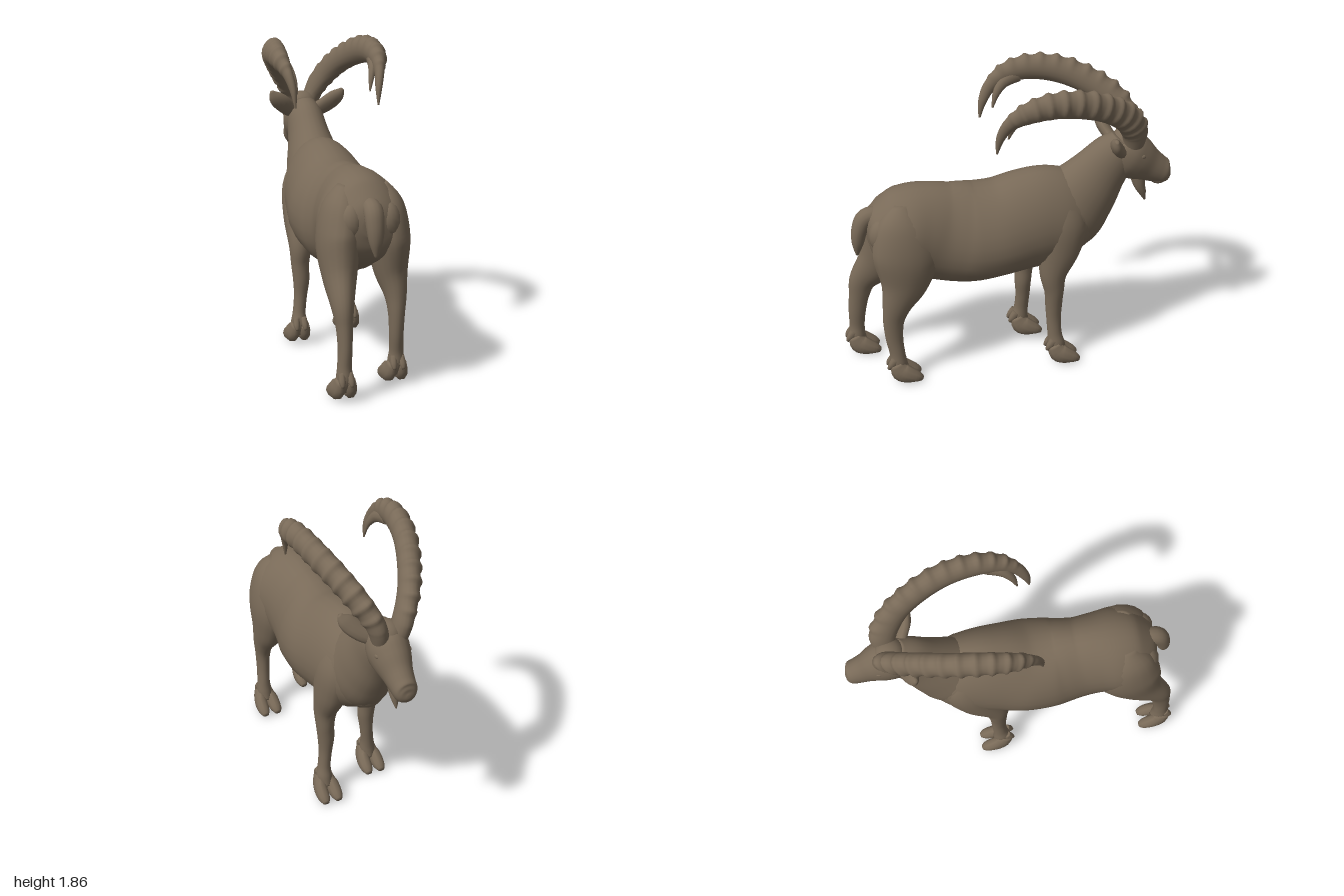
import * as THREE from 'three';

const coat = new THREE.MeshStandardMaterial({ color: 0x796a58 });
coat.name = 'brown coat';

// Smooth interpolation of one column of the section rows
function cubic(a, b, c, d, t) {
  return 0.5 * (2 * b + (c - a) * t + (2 * a - 5 * b + 4 * c - d) * t * t + (3 * b - a - 3 * c + d) * t * t * t);
}

// Lofts elliptical rings through rows of [x, y, z, sideways radius, other radius].
// skew widens the lower half; shape(u, angle) scales a ring point.
function loft(name, rows, { sides = 20, steps = 5, skew = 0, shape = () => 1 } = {}) {
  const at = (v) => {
    const i = Math.min(Math.floor(v), rows.length - 2), t = v - i;
    const r = (k) => rows[Math.max(0, Math.min(rows.length - 1, k))];
    return rows[0].map((_, c) => cubic(r(i - 1)[c], r(i)[c], r(i + 1)[c], r(i + 2)[c], t));
  };
  const n = (rows.length - 1) * steps, pos = [], idx = [];
  const vec = (s) => new THREE.Vector3(s[0], s[1], s[2]);
  for (let i = 0; i <= n; i++) {
    const s = at(i / steps), c = vec(s);
    const t = vec(at(Math.min(n, i + 1) / steps)).sub(vec(at(Math.max(0, i - 1) / steps))).normalize();
    const side = new THREE.Vector3(1, 0, 0).addScaledVector(t, -t.x).normalize();
    const up = side.clone().cross(t);
    for (let j = 0; j < sides; j++) {
      const a = (j / sides) * Math.PI * 2, m = shape(i / n, a);
      const p = c.clone()
        .addScaledVector(side, Math.cos(a) * Math.max(0.002, s[3]) * (1 - skew * Math.sin(a)) * m)
        .addScaledVector(up, Math.sin(a) * Math.max(0.002, s[4]) * m);
      pos.push(p.x, p.y, p.z);
    }
  }
  for (let i = 0; i < n; i++) {
    for (let j = 0; j < sides; j++) {
      const k = (j + 1) % sides, a = i * sides + j, b = i * sides + k;
      idx.push(a, a + sides, b, b, a + sides, b + sides);
    }
  }
  // End caps
  const first = pos.length / 3;
  pos.push(...rows[0].slice(0, 3), ...rows[rows.length - 1].slice(0, 3));
  for (let j = 0; j < sides; j++) {
    const k = (j + 1) % sides;
    idx.push(first, j, k, first + 1, n * sides + k, n * sides + j);
  }
  const g = new THREE.BufferGeometry();
  g.setAttribute('position', new THREE.Float32BufferAttribute(pos, 3));
  g.setIndex(idx);
  g.computeVertexNormals();
  const mesh = new THREE.Mesh(g, coat);
  mesh.name = name;
  return mesh;
}

function ball(name, x, y, z, rx, ry, rz) {
  const mesh = new THREE.Mesh(new THREE.SphereGeometry(1, 16, 12), coat);
  mesh.name = name;
  mesh.position.set(x, y, z);
  mesh.scale.set(rx, ry, rz);
  return mesh;
}

// Cloven foot with two toes and two dewclaws; heel is the z of the ankle
function foot(x, heel) {
  const g = new THREE.Group();
  g.name = 'foot';
  for (const s of [-1, 1]) {
    g.add(loft('toe', [
      [x + s * 0.025, 0.13, heel + 0.005, 0.03, 0.04],
      [x + s * 0.033, 0.08, heel - 0.02, 0.038, 0.06],
      [x + s * 0.04, 0.055, heel - 0.065, 0.04, 0.055],
      [x + s * 0.042, 0.035, heel - 0.12, 0.035, 0.034],
      [x + s * 0.042, 0.02, heel - 0.15, 0.018, 0.016],
    ], { sides: 10, steps: 3 }));
    g.add(loft('dewclaw', [
      [x + s * 0.022, 0.16, heel + 0.005, 0.022, 0.03],
      [x + s * 0.026, 0.125, heel + 0.035, 0.02, 0.022],
      [x + s * 0.026, 0.1, heel + 0.05, 0.008, 0.01],
    ], { sides: 8, steps: 3 }));
  }
  return g;
}

function hindLeg(s, back) {
  const g = new THREE.Group();
  g.name = s > 0 ? 'leftHindLeg' : 'rightHindLeg';
  const x = (v) => s * v;
  g.add(loft('leg', [
    [x(0.09), 1.15, 0.64, 0.05, 0.06],
    [x(0.125), 1.03, 0.65, 0.105, 0.16],
    [x(0.15), 0.85, 0.64 + back * 0.15, 0.118, 0.2],
    [x(0.16), 0.67, 0.66 + back * 0.5, 0.095, 0.148],
    [x(0.175), 0.53, 0.71 + back * 0.85, 0.063, 0.09],
    [x(0.175), 0.42, 0.735 + back * 0.9, 0.046, 0.064],
    [x(0.175), 0.3, 0.735 + back, 0.04, 0.053],
    [x(0.18), 0.2, 0.722 + back * 1.1, 0.04, 0.047],
    [x(0.18), 0.13, 0.715 + back * 1.15, 0.048, 0.052],
    [x(0.18), 0.07, 0.695 + back * 1.15, 0.04, 0.045],
  ], { sides: 18 }), foot(x(0.18), 0.73 + back * 1.15));
  return g;
}

function frontLeg(s, back) {
  const g = new THREE.Group();
  g.name = s > 0 ? 'leftFrontLeg' : 'rightFrontLeg';
  const x = (v) => s * v;
  g.add(loft('leg', [
    [x(0.1), 1.12, -0.28, 0.06, 0.08],
    [x(0.13), 0.95, -0.3, 0.095, 0.15],
    [x(0.145), 0.78, -0.28 + back * 0.3, 0.092, 0.135],
    [x(0.16), 0.62, -0.245 + back * 0.8, 0.07, 0.085],
    [x(0.165), 0.5, -0.25 + back * 0.95, 0.055, 0.06],
    [x(0.16), 0.4, -0.25 + back, 0.05, 0.052],
    [x(0.165), 0.3, -0.25 + back, 0.04, 0.045],
    [x(0.175), 0.2, -0.255 + back * 1.1, 0.039, 0.044],
    [x(0.18), 0.13, -0.265 + back * 1.25, 0.048, 0.052],
    [x(0.18), 0.07, -0.285 + back * 1.3, 0.04, 0.045],
  ], { sides: 18 }), foot(x(0.18), -0.25 + back * 1.3));
  return g;
}

// Curved horn with rows of knobs on its crest and outer side, and a second, shorter tip inside
function horn(s) {
  const g = new THREE.Group();
  g.name = s > 0 ? 'leftHorn' : 'rightHorn';
  const knobs = (u, a) => {
    const edge = Math.max(0, -Math.sin(a)) ** 3 + Math.max(0, s * Math.cos(a)) ** 3;
    const fade = Math.min(1, Math.max(0, (u - 0.08) * 12)) * Math.min(1, Math.max(0, (0.8 - u) * 12));
    return 1 + fade * edge * (0.22 * Math.sin(u * Math.PI * 18) ** 4 - 0.03);
  };
  g.add(loft('ringedHorn', [
    [s * 0.05, 1.36, -0.745, 0.05, 0.06],
    [s * 0.085, 1.48, -0.74, 0.055, 0.08],
    [s * 0.15, 1.6, -0.665, 0.06, 0.083],
    [s * 0.21, 1.69, -0.54, 0.063, 0.08],
    [s * 0.262, 1.755, -0.38, 0.063, 0.08],
    [s * 0.29, 1.78, -0.21, 0.06, 0.076],
    [s * 0.295, 1.755, -0.06, 0.05, 0.064],
    [s * 0.277, 1.69, 0.045, 0.03, 0.042],
    [s * 0.258, 1.6, 0.098, 0.02, 0.026],
    [s * 0.25, 1.5, 0.118, 0.005, 0.006],
  ], { sides: 18, steps: 18, shape: knobs }));
  g.add(loft('shortTip', [
    [s * 0.275, 1.745, -0.12, 0.03, 0.045],
    [s * 0.258, 1.71, -0.03, 0.028, 0.034],
    [s * 0.235, 1.65, 0.02, 0.018, 0.022],
    [s * 0.22, 1.57, 0.045, 0.004, 0.005],
  ], { sides: 10 }));
  return g;
}

export function createModel() {
  const goat = new THREE.Group();
  goat.name = 'goat';

  // Trunk from [z, top, bottom, half width]
  const trunk = [
    [0.85, 1.02, 0.9, 0.05], [0.82, 1.1, 0.82, 0.15], [0.74, 1.18, 0.73, 0.215], [0.62, 1.225, 0.68, 0.25],
    [0.5, 1.23, 0.64, 0.235], [0.4, 1.218, 0.6, 0.228], [0.3, 1.21, 0.578, 0.242], [0.2, 1.2, 0.575, 0.263],
    [0.05, 1.205, 0.6, 0.272], [-0.1, 1.245, 0.62, 0.252], [-0.22, 1.258, 0.625, 0.235],
    [-0.34, 1.215, 0.635, 0.215], [-0.44, 1.13, 0.67, 0.175], [-0.51, 1.02, 0.745, 0.11], [-0.54, 0.94, 0.84, 0.03],
  ].map(([z, t, b, w]) => [0, (t + b) / 2, z, w, (t - b) / 2]);
  goat.add(loft('trunk', trunk, { sides: 28, skew: 0.14 }));

  goat.add(loft('neck', [
    [0, 0.88, -0.2, 0.12, 0.2],
    [0, 0.95, -0.34, 0.185, 0.26],
    [0, 1.07, -0.455, 0.162, 0.225],
    [0, 1.2, -0.56, 0.128, 0.175],
    [0, 1.31, -0.65, 0.11, 0.14],
    [0, 1.38, -0.71, 0.08, 0.09],
  ], { sides: 24 }));

  goat.add(loft('head', [
    [0, 1.39, -0.6, 0.03, 0.03],
    [0, 1.35, -0.645, 0.095, 0.105],
    [0, 1.3, -0.72, 0.118, 0.15],
    [0, 1.255, -0.79, 0.108, 0.137],
    [0, 1.21, -0.86, 0.085, 0.107],
    [0, 1.175, -0.92, 0.074, 0.088],
    [0, 1.155, -0.965, 0.066, 0.075],
    [0, 1.15, -0.99, 0.045, 0.045],
    [0, 1.15, -1.0, 0.01, 0.01],
  ], { sides: 22 }));
  goat.add(ball('forehead', 0, 1.39, -0.72, 0.088, 0.08, 0.09));
  goat.add(ball('lowerLip', 0, 1.11, -0.925, 0.05, 0.03, 0.05));

  goat.add(loft('beard', [
    [0, 1.14, -0.8, 0.035, 0.05],
    [0, 1.08, -0.81, 0.032, 0.036],
    [0, 1.03, -0.83, 0.024, 0.025],
    [0, 0.97, -0.85, 0.004, 0.005],
  ], { sides: 10 }));

  goat.add(loft('tail', [
    [0, 1.06, 0.76, 0.05, 0.05],
    [0, 1.045, 0.85, 0.055, 0.055],
    [0, 0.97, 0.89, 0.052, 0.048],
    [0, 0.88, 0.905, 0.038, 0.036],
    [0, 0.8, 0.912, 0.008, 0.008],
  ], { sides: 14 }));

  for (const s of [-1, 1]) {
    goat.add(horn(s));
    goat.add(loft(s > 0 ? 'leftEar' : 'rightEar', [
      [s * 0.06, 1.35, -0.66, 0.05, 0.035],
      [s * 0.115, 1.38, -0.64, 0.055, 0.036],
      [s * 0.165, 1.42, -0.615, 0.056, 0.036],
      [s * 0.205, 1.457, -0.6, 0.042, 0.028],
      [s * 0.23, 1.492, -0.592, 0.012, 0.01],
    ], { sides: 12 }));
    goat.add(ball('eye', s * 0.097, 1.31, -0.79, 0.012, 0.016, 0.024));
    goat.add(ball('rumpMuscle', s * 0.105, 0.97, 0.765, 0.078, 0.11, 0.085));
  }
  goat.add(ball('bellySheath', 0, 0.665, 0.42, 0.07, 0.065, 0.13));

  goat.add(hindLeg(1, 0), hindLeg(-1, 0.18));
  goat.add(frontLeg(1, 0), frontLeg(-1, 0.12));
  return goat;
}
